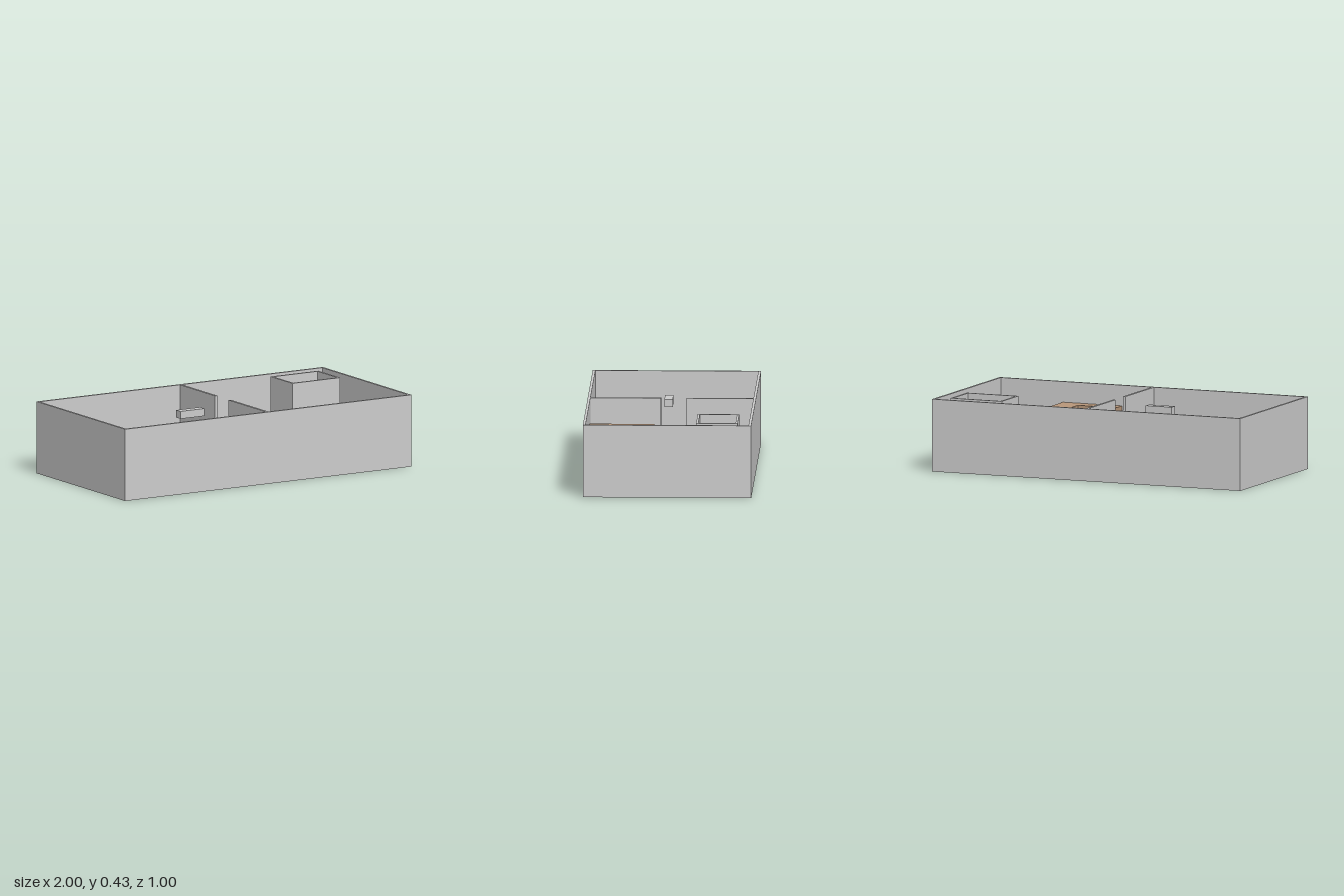
import * as THREE from 'three';

const HEIGHT = 0.434; // wall height

// Upright prism from a plan outline of [x, z] points, with optional holes
function prism(points, holes, y0, y1) {
  const toVectors = (list) => list.map(([x, z]) => new THREE.Vector2(x, z));
  const shape = new THREE.Shape(toVectors(points));
  holes.forEach((hole) => shape.holes.push(new THREE.Path(toVectors(hole))));
  const geometry = new THREE.ExtrudeGeometry(shape, { depth: y1 - y0, bevelEnabled: false });
  return geometry.rotateX(Math.PI / 2).translate(0, y1, 0);
}

const rect = (x0, x1, z0, z1) => [[x0, z0], [x1, z0], [x1, z1], [x0, z1]];

export function createModel() {
  const model = new THREE.Group();
  model.name = 'floorPlan';

  const grey = new THREE.MeshStandardMaterial({ color: 0xcccccc });
  grey.name = 'plaster grey';
  const brown = new THREE.MeshStandardMaterial({ color: 0xb8977a });
  brown.name = 'wood brown';

  const add = (name, geometry, material) => {
    const mesh = new THREE.Mesh(geometry, material);
    mesh.name = name;
    model.add(mesh);
  };
  const box = (x0, x1, y0, y1, z0, z1) =>
    new THREE.BoxGeometry(x1 - x0, y1 - y0, z1 - z0)
      .translate((x0 + x1) / 2, (y0 + y1) / 2, (z0 + z1) / 2);

  // Shell
  add('floor', box(-0.99, 0.99, 0, 0.002, -0.49, 0.49), grey);
  add('outerWalls', prism(rect(-1, 1, -0.5, 0.5),
    [rect(-0.986, 0.986, -0.484, 0.484)], 0, HEIGHT), grey);

  // Dividing wall with a doorway gap
  add('dividerBack', box(-0.008, 0.008, 0.001, HEIGHT, -0.485, -0.086), grey);
  add('dividerFront', box(-0.008, 0.008, 0.001, HEIGHT, 0.064, 0.485), grey);

  // Small enclosed room, open at the top
  add('smallRoomWalls', prism(rect(0.583, 0.917, -0.417, -0.17),
    [rect(0.596, 0.904, -0.404, -0.183)], 0.001, HEIGHT), grey);

  // Raised box in the left room
  add('raisedBox', box(-0.335, -0.167, 0.352, 0.397, 0, 0.05), grey);

  // Furniture
  add('lowTable', box(-0.667, -0.4, 0.001, 0.117, -0.167, -0.035), brown);
  add('bench', box(-0.917, -0.585, 0.001, 0.135, 0.25, 0.397), brown);
  add('uShapedCounter', prism([
    [0.2, 0.097], [0.333, 0.097], [0.333, 0.4], [0.45, 0.4],
    [0.45, 0.097], [0.583, 0.097], [0.583, 0.483], [0.2, 0.483],
  ], [], 0.001, 0.31), brown);

  return model;
}
